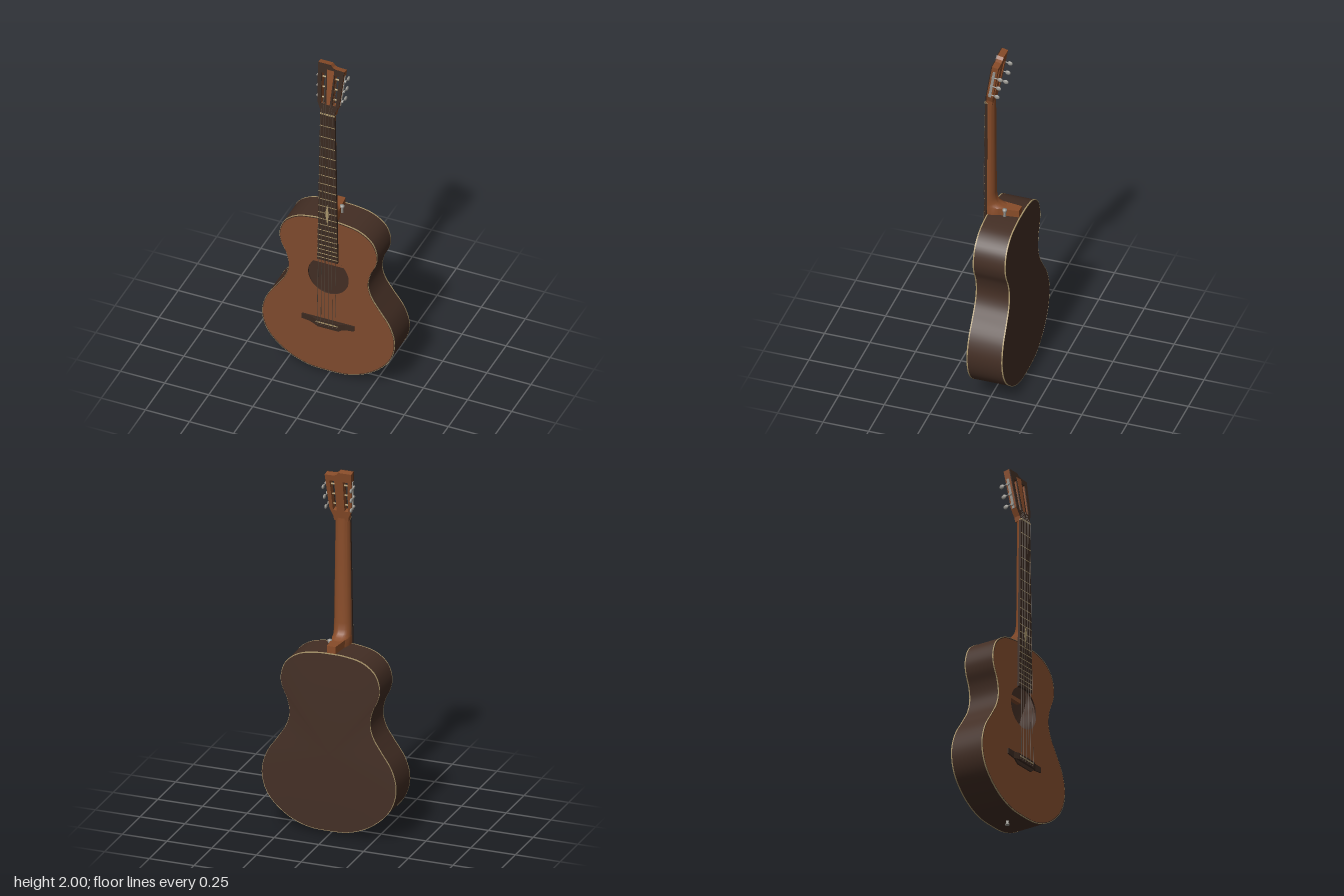
import * as THREE from 'three';
import { toCreasedNormals } from 'three/addons/utils/BufferGeometryUtils.js';

const V = (x, y, z) => new THREE.Vector3(x, y, z);
const mat = (name, color, side = THREE.FrontSide) => {
  const m = new THREE.MeshStandardMaterial({ color, side });
  m.name = name;
  return m;
};

// Skin between equal-length closed loops of points
function loft(loops, crease = 0.6) {
  const n = loops[0].length, index = [];
  for (let i = 0; i < loops.length - 1; i++)
    for (let j = 0; j < n; j++) {
      const a = i * n + j, b = i * n + (j + 1) % n;
      index.push(a, b, b + n, a, b + n, a + n);
    }
  const g = new THREE.BufferGeometry().setFromPoints(loops.flat());
  g.setIndex(index);
  return toCreasedNormals(g, crease);
}

const polygon = pts => new THREE.Shape(pts.map(p => new THREE.Vector2(p[0], p[1])));
const slab = (shape, depth, z = 0) =>
  new THREE.ExtrudeGeometry(shape, { depth, bevelEnabled: false, curveSegments: 32 }).translate(0, 0, z);
const box = (w, h, d, x, y, z) => new THREE.BoxGeometry(w, h, d).translate(x, y, z);

// Cylinder between two points
function rod(a, b, r, sides = 6) {
  const dir = b.clone().sub(a);
  const g = new THREE.CylinderGeometry(r, r, dir.length(), sides);
  g.applyQuaternion(new THREE.Quaternion().setFromUnitVectors(V(0, 1, 0), dir.normalize()));
  const mid = a.clone().add(b).multiplyScalar(0.5);
  return g.translate(mid.x, mid.y, mid.z);
}

export function createModel() {
  const guitar = new THREE.Group();
  guitar.name = 'acousticGuitar';
  const top = mat('cedarTop', 0x7e4a2d, THREE.DoubleSide);
  const dark = mat('darkBodyWood', 0x432e24, THREE.DoubleSide);
  const neckWood = mat('neckWood', 0x884c29);
  const ebony = mat('fretboardWood', 0x3a2920);
  const cream = mat('creamBinding', 0xa8946a, THREE.DoubleSide);
  const metal = mat('metal', 0x989690);
  const wire = mat('stringWire', 0x50443a);
  const add = (name, geo, material, parent = guitar) => {
    const m = new THREE.Mesh(geo, material);
    m.name = name;
    parent.add(m);
    return m;
  };

  // Body outline: right half mirrored into a smooth closed curve
  const half = [[0.12, 0.034], [0.24, 0.085], [0.342, 0.185], [0.375, 0.3], [0.35, 0.41], [0.285, 0.51],
    [0.242, 0.58], [0.225, 0.65], [0.238, 0.725], [0.267, 0.79], [0.276, 0.85], [0.25, 0.93], [0.18, 0.985], [0.08, 1.007]];
  const control = [[0, 0.025], ...half, [0, 1.01], ...half.map(([x, y]) => [-x, y]).reverse()];
  const outline = new THREE.CatmullRomCurve3(control.map(([x, y]) => V(x, y, 0)), true).getPoints(128).slice(0, -1);
  const backZ = y => -0.1155 + (y - 0.025) * 0.031;
  const ring = (s, z) => outline.map(p => {
    const y = 0.45 + (p.y - 0.45) * s;
    return V(p.x * s, y, z(y));
  });
  const flat = z => () => z;

  add('bodySides', loft([ring(1, backZ), ring(1, flat(0.09))]), dark);
  add('bodyBack', loft([0, 0.2, 0.4, 0.6, 0.8, 1].map(s => ring(s, y => backZ(y) - 0.005 * (1 - s * s)))), dark);
  const face = new THREE.Shape(outline.map(p => new THREE.Vector2(p.x, p.y)));
  face.holes.push(new THREE.Path().absarc(0, 0.645, 0.115, 0, Math.PI * 2, true));
  add('bodyTop', new THREE.ShapeGeometry(face, 32).translate(0, 0, 0.09), top);
  add('soundHoleEdge', new THREE.CylinderGeometry(0.115, 0.115, 0.008, 48, 1, true)
    .rotateX(Math.PI / 2).translate(0, 0.645, 0.086), dark);
  add('frontBinding', loft([ring(1.003, flat(0.084)), ring(1.003, flat(0.0908)), ring(0.998, flat(0.0908))]), cream);
  add('frontPurfling', loft([ring(0.998, flat(0.0908)), ring(0.989, flat(0.0908))]), dark);
  add('backBinding', loft([ring(0.996, y => backZ(y) - 0.001), ring(1.003, y => backZ(y) - 0.001),
    ring(1.003, y => backZ(y) + 0.006)]), cream);
  for (const y of [0.3, 0.6, 0.8]) add('backBrace', box(0.4, 0.022, 0.025, 0, y, -0.08), top);

  // Neck: D-shaped sections flowing into the heel
  const section = (y, hw, depth) => Array.from({ length: 17 }, (_, i) => {
    const a = Math.PI * i / 16;
    return V(hw * Math.cos(a), y, 0.092 - depth * Math.sin(a));
  });
  add('neck', loft([[1.0, 0.05, 0.1], [1.05, 0.05, 0.095], [1.058, 0.049, 0.068], [1.072, 0.049, 0.05],
    [1.095, 0.049, 0.04], [1.13, 0.048, 0.036], [1.68, 0.041, 0.033], [1.72, 0.04, 0.033]]
    .map(s => section(...s))), neckWood);
  const heel = polygon([[-0.04, -0.06], [0.04, -0.06], [0.024, 0.077], [-0.024, 0.077]]);
  add('heel', slab(heel, 0.06).rotateX(-Math.PI / 2).translate(0, 0.99, 0), neckWood);

  // Fretboard, frets, nut and inlay
  const bridgeY = 0.335, nutY = 1.71, scale = nutY - bridgeY;
  const boardHalf = y => 0.041 + (nutY - y) * 0.0177;
  add('fretboard', slab(polygon([[-boardHalf(0.75), 0.75], [boardHalf(0.75), 0.75],
    [boardHalf(nutY), nutY], [-boardHalf(nutY), nutY]]), 0.014, 0.09), ebony);
  for (let i = 1; i <= 20; i++) {
    const y = bridgeY + scale / 2 ** (i / 12);
    add('fret', box(boardHalf(y) * 2, 0.004, 0.003, 0, y, 0.104), cream);
  }
  add('nut', box(0.082, 0.008, 0.018, 0, nutY + 0.002, 0.0985), cream);
  add('fretInlay', slab(polygon([[0, 0.99], [0.012, 1.06], [0, 1.12], [-0.012, 1.06]]), 0.001, 0.104), cream);

  // Bridge with raised centre, saddle and pins
  add('bridgeWings', slab(polygon([[-0.148, 0.33], [-0.085, 0.322], [-0.06, 0.302], [0.06, 0.302],
    [0.085, 0.322], [0.148, 0.33], [0.148, 0.36], [-0.148, 0.36]]), 0.008, 0.09), ebony);
  const hump = polygon([[-0.105, -0.095], [0.105, -0.095], [0.068, -0.11], [-0.068, -0.11]].reverse());
  add('bridgeCentre', slab(hump, 0.036).rotateX(-Math.PI / 2).translate(0, 0.322, 0), ebony);
  add('saddle', box(0.125, 0.006, 0.01, 0, 0.343, 0.108), cream);

  // Slotted headstock, leaning back
  const head = new THREE.Group();
  head.name = 'headstock';
  head.position.set(0, nutY, 0.104);
  head.rotation.x = -0.17;
  guitar.add(head);
  const headShape = polygon([[-0.04, 0], [0.04, 0], [0.043, 0.025], [0.062, 0.07], [0.075, 0.272],
    [0.025, 0.274], [0.008, 0.28], [-0.004, 0.294], [-0.075, 0.294], [-0.062, 0.07], [-0.043, 0.025]]);
  for (const s of [-1, 1])
    headShape.holes.push(new THREE.Path([[0.022, 0.06], [0.042, 0.06], [0.05, 0.24], [0.024, 0.24]]
      .map(([x, y]) => new THREE.Vector2(s * x, y))));
  add('headstockBlock', slab(headShape, 0.034, -0.039), neckWood, head);
  add('headstockVeneer', slab(headShape, 0.005, -0.005), ebony, head);
  add('headstockInlay', slab(polygon([[-0.009, 0.06], [0.009, 0.06], [0.02, 0.265], [-0.02, 0.265]]), 0.001), neckWood, head);

  // Tuners: roller in the slot, side plate, stem and button
  const tunerY = [0.09, 0.15, 0.21];
  for (const s of [-1, 1]) {
    const plate = add('tunerPlate', box(0.004, 0.175, 0.014, 0, 0, 0), metal, head);
    plate.position.set(s * 0.069, 0.155, -0.022);
    plate.rotation.z = -s * 0.064;
    for (const y of tunerY) {
      const x = s * (0.065 + (y - 0.09) * 0.064);
      add('tunerRoller', rod(V(s * 0.018, y, -0.02), V(s * 0.058, y, -0.02), 0.005, 10), cream, head);
      add('tunerGear', rod(V(x, y, -0.022), V(x + s * 0.01, y, -0.022), 0.008, 10), metal, head);
      add('tunerStem', rod(V(x + s * 0.006, y, -0.02), V(x + s * 0.006, y, -0.055), 0.003, 8), metal, head);
      const button = add('tunerButton', new THREE.SphereGeometry(0.015, 12, 8), metal, head);
      button.scale.set(0.45, 0.85, 1);
      button.position.set(x + s * 0.006, y, -0.062);
    }
  }

  // Six strings from pins over the saddle and nut to the rollers
  head.updateMatrix();
  for (let i = 0; i < 6; i++) {
    const t = i / 5 - 0.5, r = 0.0017 - i * 0.00015;
    const saddle = V(t * 0.108, 0.343, 0.114), nut = V(t * 0.066, nutY + 0.002, 0.109);
    const side = i < 3 ? -1 : 1, order = i < 3 ? i : 5 - i;
    const post = V(side * 0.033, tunerY[order], -0.014).applyMatrix4(head.matrix);
    add('string', rod(saddle, nut, r), wire);
    add('stringEnd', rod(nut, post, r), wire);
    add('stringTail', rod(V(t * 0.108, 0.328, 0.109), saddle, r), wire);
    add('bridgePin', new THREE.SphereGeometry(0.005, 8, 6).translate(t * 0.108, 0.328, 0.11), ebony);
  }

  // Strap buttons at the heel and tail
  const knob = [[0, 0], [0.009, 0], [0.006, 0.012], [0.012, 0.019], [0.012, 0.024], [0, 0.026]]
    .map(([x, y]) => new THREE.Vector2(x, y));
  add('heelStrapButton', new THREE.LatheGeometry(knob, 16).scale(1, 2, 1).translate(0.037, 1.006, -0.003), metal);
  add('tailStrapButton', new THREE.LatheGeometry(knob, 16).rotateX(Math.PI).translate(0, 0.026, -0.012), metal);

  return guitar;
}
